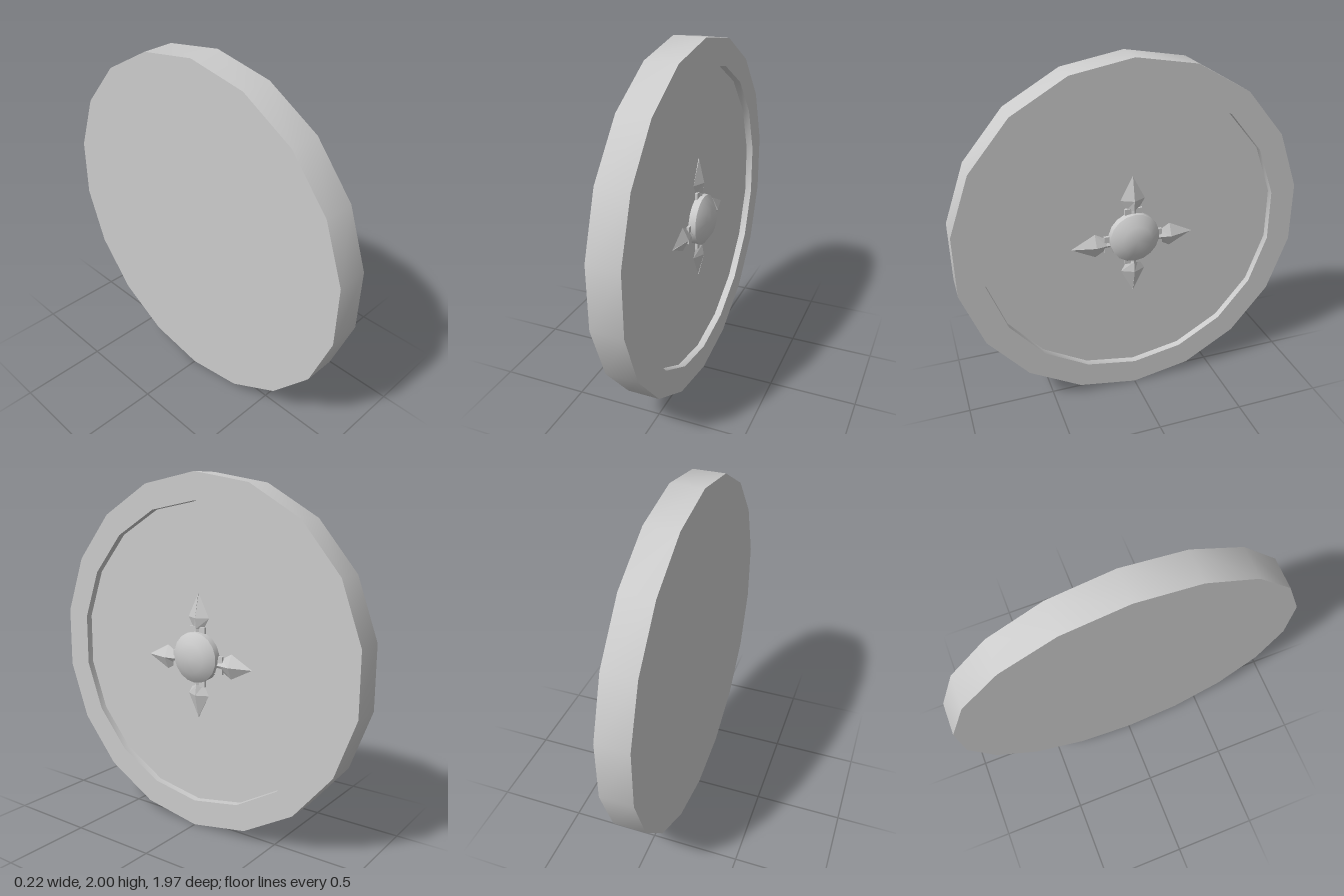
import * as THREE from 'three';
import { toCreasedNormals } from 'three/addons/utils/BufferGeometryUtils.js';

const FLOOR = 0.03; // x of the recessed face

export function createModel() {
  const model = new THREE.Group();
  model.name = 'roundShield';
  const material = new THREE.MeshStandardMaterial({ color: 0xcccccc });

  function add(parent, name, geometry) {
    const mesh = new THREE.Mesh(geometry, material);
    mesh.name = name;
    parent.add(mesh);
    return mesh;
  }

  // Turned part about the x axis; profile points are [radius, x]
  function turned(name, profile) {
    const points = profile.map(([r, x]) => new THREE.Vector2(r, x));
    const geometry = new THREE.LatheGeometry(points, 18, Math.PI / 2);
    geometry.rotateZ(-Math.PI / 2);
    geometry.translate(0, 1, 0);
    add(model, name, toCreasedNormals(geometry, 0.8));
  }

  // Disc with a raised rim, and the central boss
  turned('disc', [[0, -0.11], [1, -0.11], [1, 0.07], [0.85, 0.07], [0.85, FLOOR], [0, FLOOR]]);
  turned('boss', [[0.143, FLOOR - 0.01], [0.143, 0.07], [0.085, 0.11], [0, 0.11]]);

  // Ridged spearhead pointing along +y: sections of [distance, half width, ridge height]
  function bladeGeometry() {
    const sections = [[0.12, 0.035, 0.025], [0.16, 0.035, 0.025], [0.22, 0.07, 0.035], [0.355, 0, 0.004]];
    const positions = [];
    const quad = (a, b, c, d) => positions.push(...a, ...b, ...c, ...a, ...c, ...d);
    for (let i = 0; i < sections.length - 1; i++) {
      const [p, q] = [sections[i], sections[i + 1]].map(([y, w, h]) => ({
        left: [0, y, w], right: [0, y, -w], ridge: [h, y, 0],
      }));
      quad(p.left, p.ridge, q.ridge, q.left);
      quad(p.ridge, p.right, q.right, q.ridge);
    }
    const geometry = new THREE.BufferGeometry();
    geometry.setAttribute('position', new THREE.Float32BufferAttribute(positions, 3));
    geometry.computeVertexNormals();
    return geometry;
  }

  // Four spearheads with collars around the boss; the sideways pair sits slightly lower
  const blade = bladeGeometry();
  const collar = new THREE.BoxGeometry(0.02, 0.06, 0.1);
  collar.translate(0.005, 0.14, 0);
  for (let i = 0; i < 4; i++) {
    const spear = new THREE.Group();
    spear.name = 'spearhead' + (i + 1);
    add(spear, 'blade', blade);
    add(spear, 'collar', collar);
    spear.rotation.x = (i * Math.PI) / 2;
    spear.position.set(FLOOR, i % 2 ? 0.97 : 1, 0);
    model.add(spear);
  }

  return model;
}
